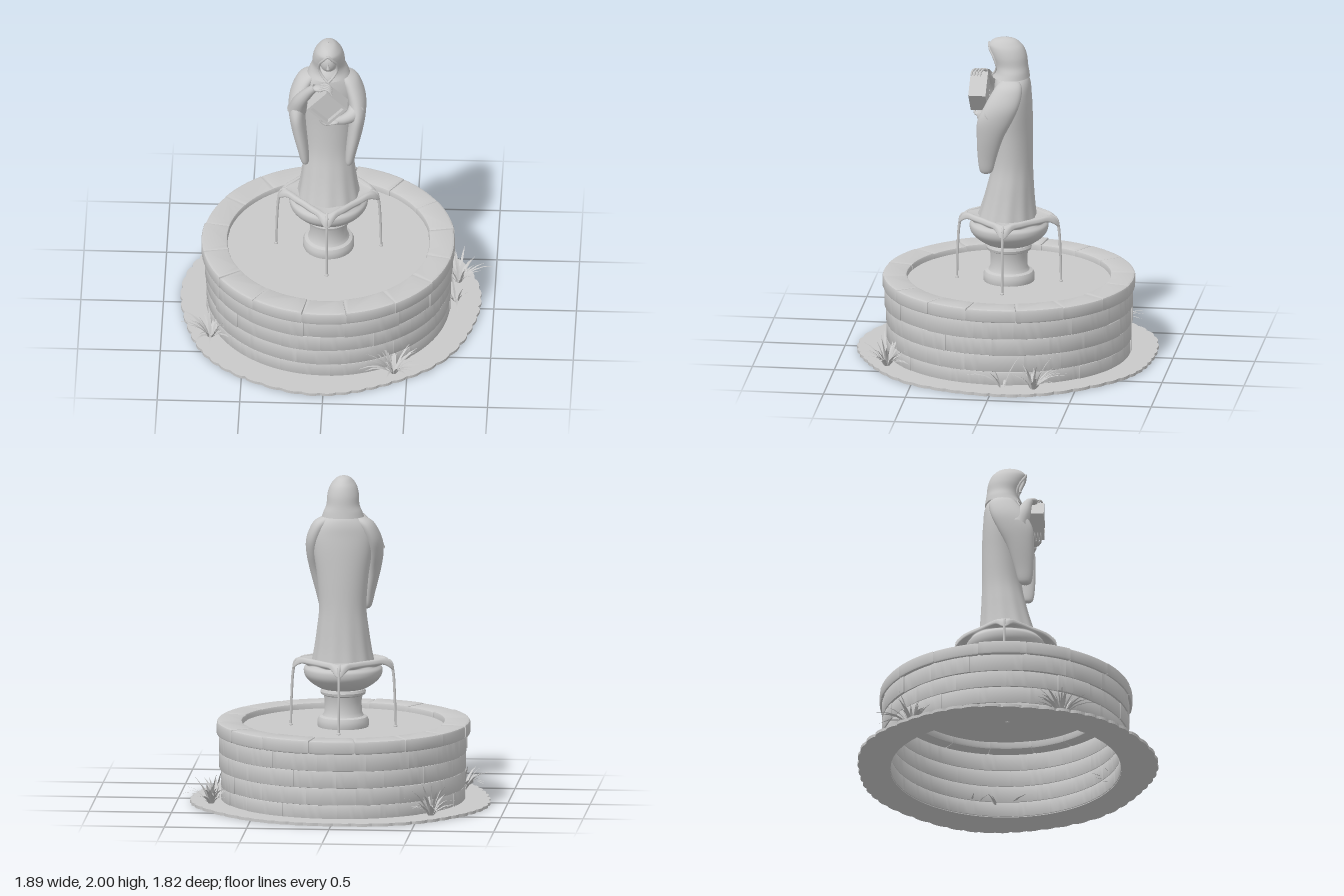
import * as THREE from 'three';
import { mergeGeometries, mergeVertices, toCreasedNormals } from 'three/addons/utils/BufferGeometryUtils.js';

const stone = new THREE.MeshStandardMaterial({ color: 0xc8c8c8, side: THREE.DoubleSide });
stone.name = 'greyStone';
const V = (x, y, z) => new THREE.Vector3(x, y, z);

let seed = 7;
const rnd = (a = 0, b = 1) => {
  seed = (seed * 16807) % 2147483647;
  return a + (b - a) * (seed / 2147483647);
};

function add(parent, name, geo) {
  const m = new THREE.Mesh(geo, stone);
  m.name = name;
  parent.add(m);
  return m;
}

// Smooth interpolation of rows of numbers, t in 0..1
function sampleRows(rows, t) {
  const f = t * (rows.length - 1), i = Math.min(Math.floor(f), rows.length - 2), u = f - i;
  const p = (k) => rows[Math.max(0, Math.min(rows.length - 1, k))];
  return rows[i].map((b, j) => {
    const a = p(i - 1)[j], c = p(i + 1)[j], d = p(i + 2)[j];
    return b + 0.5 * u * (c - a + u * (2 * a - 5 * b + 4 * c - d + u * (3 * (b - c) + d - a)));
  });
}

// Elliptical cross-sections [y, cx, cz, rx, rz, gap], bottom to top; gap opens the front
function loft(rows, { n = 40, m = 36, shape = null } = {}) {
  const open = rows.some((r) => r[5] > 0), cols = open ? n + 1 : n, pos = [], idx = [];
  for (let j = 0; j <= m; j++) {
    const [y, cx, cz, rx, rz, gap = 0] = sampleRows(rows, j / m), g = Math.max(0, gap);
    for (let i = 0; i < cols; i++) {
      const a = g + (2 * Math.PI - 2 * g) * (i / n);
      const p = V(cx + Math.sin(a) * rx, y, cz + Math.cos(a) * rz);
      if (shape) shape(p, a);
      pos.push(p.x, p.y, p.z);
    }
  }
  for (let j = 0; j < m; j++) for (let i = 0; i < n; i++) {
    const k = (i + 1) % cols, a = j * cols + i, b = j * cols + k;
    idx.push(a, b, a + cols, b, b + cols, a + cols);
  }
  const g = new THREE.BufferGeometry();
  g.setAttribute('position', new THREE.Float32BufferAttribute(pos, 3));
  g.setIndex(idx);
  g.computeVertexNormals();
  return g;
}

// Tube whose radius runs from r0 to r1
function taper(points, r0, r1, seg = 14, sides = 10) {
  const curve = new THREE.CatmullRomCurve3(points);
  const g = new THREE.TubeGeometry(curve, seg, 1, sides), p = g.attributes.position, v = V(0, 0, 0);
  for (let i = 0; i < p.count; i++) {
    const t = Math.floor(i / (sides + 1)) / seg, c = curve.getPointAt(t);
    v.fromBufferAttribute(p, i).sub(c).multiplyScalar(r0 + (r1 - r0) * t).add(c);
    p.setXYZ(i, v.x, v.y, v.z);
  }
  return g;
}

// Bevelled arc-shaped block
function block(rIn, rOut, a0, a1, y0, y1, bev) {
  const s = new THREE.Shape(), e = bev / rOut;
  s.absarc(0, 0, rOut - bev, a0 + e, a1 - e, false);
  s.absarc(0, 0, rIn + bev, a1 - e, a0 + e, true);
  s.closePath();
  const g = new THREE.ExtrudeGeometry(s, {
    depth: y1 - y0 - 2 * bev, bevelEnabled: true, bevelSize: bev, bevelThickness: bev, bevelSegments: 2, curveSegments: 6,
  });
  g.rotateX(-Math.PI / 2).translate(0, y0 + bev, 0);
  return toCreasedNormals(g, 0.7);
}

function ring(count, offset, jitter, make) {
  const step = (2 * Math.PI) / count, cuts = [];
  for (let i = 0; i < count; i++) cuts.push(offset + step * (i + rnd(-jitter, jitter)));
  cuts.push(cuts[0] + 2 * Math.PI);
  return mergeGeometries(cuts.slice(0, -1).map((a, i) => make(a, cuts[i + 1])));
}

// Fan of curved leaf blades
function tuft(count) {
  const pos = [], idx = [];
  for (let b = 0; b < count; b++) {
    const a = rnd(0, 6.283), len = rnd(0.12, 0.23), lean = rnd(0.25, 1.1), w = rnd(0.005, 0.013), k = pos.length / 3;
    const dx = Math.cos(a), dz = Math.sin(a);
    for (let i = 0; i <= 4; i++) {
      const t = i / 4, th = lean * (0.5 + 0.7 * t), r = 0.015 + len * t * Math.sin(th), hw = w * (0.5 + 2 * t) * (1 - t) + 0.0005;
      const y = len * t * Math.cos(th);
      pos.push(dx * r - dz * hw, y, dz * r + dx * hw, dx * r + dz * hw, y, dz * r - dx * hw);
      if (i < 4) { const q = k + 2 * i; idx.push(q, q + 1, q + 2, q + 1, q + 3, q + 2); }
    }
  }
  const g = new THREE.BufferGeometry();
  g.setAttribute('position', new THREE.Float32BufferAttribute(pos, 3));
  g.setIndex(idx);
  g.computeVertexNormals();
  return g;
}

export function createModel() {
  const root = new THREE.Group();
  root.name = 'fountain';

  // Scalloped ground skirt
  const edge = [];
  for (let i = 0; i < 360; i++) {
    const a = (i * Math.PI) / 180;
    const r = 0.893 + 0.016 * Math.sqrt(Math.abs(Math.sin(27 * a + Math.sin(5 * a)))) + 0.014 * Math.sin(3 * a + 1) + 0.008 * Math.sin(7 * a);
    edge.push(new THREE.Vector2(r * Math.cos(a), r * Math.sin(a)));
  }
  const skirt = new THREE.Shape(edge);
  skirt.holes.push(new THREE.Path().absarc(0, 0, 0.7, 0, Math.PI * 2, true));
  add(root, 'groundSkirt', new THREE.ExtrudeGeometry(skirt, { depth: 0.018, bevelEnabled: false, curveSegments: 48 }).rotateX(-Math.PI / 2));

  // Basin wall, coping and water
  const courses = [0.005, 0.1, 0.205, 0.31, 0.42];
  for (let i = 0; i < 4; i++) {
    const r = 0.735 + 0.005 * i;
    add(root, 'brickCourse', ring(16, i * 0.2, 0.2, (a, b) => block(0.695, r + rnd(-0.003, 0.006), a, b, courses[i], courses[i + 1], 0.005)));
  }
  add(root, 'coping', ring(16, Math.PI / 16, 0.06, (a, b) => block(0.61 + rnd(0, 0.006), 0.765 + rnd(-0.004, 0.005), a, b, 0.415, 0.497 + rnd(-0.003, 0.003), 0.014)));
  add(root, 'water', new THREE.RingGeometry(0.13, 0.68, 64).rotateX(-Math.PI / 2)).position.y = 0.46;

  // Pedestal
  const profile = [[0.15, 0.45], [0.155, 0.465], [0.155, 0.5], [0.145, 0.52], [0.125, 0.528], [0.113, 0.55], [0.112, 0.62],
    [0.118, 0.652], [0.134, 0.66], [0.138, 0.675], [0.132, 0.69], [0.11, 0.697]].map((p) => new THREE.Vector2(...p));
  add(root, 'pedestal', toCreasedNormals(new THREE.LatheGeometry(profile, 48), 0.6));

  // Bowl with four drooping lips
  const bowlRows = [[0.69, 0.11], [0.7, 0.145], [0.735, 0.198], [0.775, 0.232], [0.815, 0.238], [0.838, 0.222], [0.848, 0.215],
    [0.862, 0.22], [0.88, 0.212], [0.884, 0.195], [0.872, 0.17], [0.87, 0.001]].map(([y, r]) => [y, 0, 0, r, r]);
  add(root, 'bowl', loft(bowlRows, {
    n: 96, m: 66,
    shape: (p, a) => {
      const c = Math.abs(Math.cos(2 * a)), r = Math.hypot(p.x, p.z);
      const lip = Math.max(0, Math.min(1, (p.y - 0.84) / 0.012)) * Math.max(0, Math.min(1, (r - 0.17) / 0.03));
      const out = r + lip * (0.04 * c * c + 0.05 * c ** 16);
      p.x *= out / r; p.z *= out / r;
      p.y -= lip * 11 * Math.max(0, out - 0.24) ** 2;
    },
  }));

  // Water streams
  for (let i = 0; i < 4; i++) {
    const g = new THREE.Group();
    g.name = 'waterStream';
    g.rotation.y = (i * Math.PI) / 2;
    add(g, 'stream', taper([V(0.25, 0.875, 0), V(0.288, 0.86, 0), V(0.303, 0.8, 0), V(0.313, 0.65, 0), V(0.318, 0.46, 0)], 0.009, 0.007, 24, 8));
    add(g, 'splash', new THREE.SphereGeometry(0.012, 10, 8)).position.set(0.318, 0.462, 0);
    root.add(g);
  }

  // Robed figure
  const figure = new THREE.Group();
  figure.name = 'robedFigure';
  root.add(figure);
  const robe = [[0.872, 0.186, 0.185, -0.165], [0.95, 0.172, 0.16, -0.157], [1.06, 0.157, 0.13, -0.15], [1.2, 0.143, 0.1, -0.145],
    [1.38, 0.155, 0.09, -0.145], [1.54, 0.177, 0.09, -0.142], [1.64, 0.178, 0.09, -0.136], [1.71, 0.15, 0.085, -0.13],
    [1.76, 0.1, 0.075, -0.11], [1.8, 0.05, 0.05, -0.06]].map(([y, rx, f, b]) => [y, 0, (f + b) / 2, rx, (f - b) / 2]);
  add(figure, 'robe', loft(robe, {
    n: 72, m: 45,
    shape: (p, a) => {
      const k = 1 + 0.022 * Math.max(0, 1.25 - p.y) * 2.5 * Math.cos(11 * a);
      p.x *= k; p.z *= k;
    },
  }));

  // Hood with a face opening and rolled hem
  const hood = [[1.752, 0.128, 0.1, -0.127, 0.02], [1.785, 0.116, 0.082, -0.122, 0.32], [1.825, 0.1, 0.085, -0.116, 0.58],
    [1.88, 0.096, 0.105, -0.11, 0.58], [1.925, 0.085, 0.12, -0.096, 0.36], [1.955, 0.068, 0.12, -0.076, 0.05],
    [1.983, 0.04, 0.085, -0.04, 0], [1.995, 0.002, 0.02, 0.016, 0]].map(([y, rx, f, b, g]) => [y, 0, (f + b) / 2, rx, (f - b) / 2, g]);
  add(figure, 'hood', loft(hood, { n: 48, m: 40 }));
  const hem = (s) => hood.slice(0, 6).map(([y, , cz, rx, rz, g]) => V(s * Math.sin(g) * rx, y, cz + Math.cos(g) * rz));
  add(figure, 'hoodHem', new THREE.TubeGeometry(new THREE.CatmullRomCurve3([...hem(-1), ...hem(1).reverse()]), 60, 0.008, 8));
  const face = add(figure, 'face', new THREE.SphereGeometry(1, 28, 20));
  face.scale.set(0.054, 0.075, 0.062);
  face.position.set(0, 1.862, 0.02);
  const nose = add(figure, 'nose', new THREE.ConeGeometry(0.011, 0.045, 8));
  nose.position.set(0, 1.862, 0.082);
  nose.rotation.x = -0.15;
  const neck = add(figure, 'neck', new THREE.CylinderGeometry(0.04, 0.06, 0.09, 20));
  neck.position.set(0, 1.785, 0.005);

  // Draped sleeves, one per side
  const sleeve = [[1.162, 0.125, 0.125, 0.003, 0.004], [1.18, 0.13, 0.122, 0.024, 0.038], [1.27, 0.143, 0.115, 0.034, 0.057],
    [1.4, 0.165, 0.095, 0.044, 0.08], [1.51, 0.178, 0.065, 0.05, 0.105], [1.6, 0.172, 0.025, 0.055, 0.105],
    [1.68, 0.145, -0.005, 0.055, 0.092], [1.73, 0.115, -0.018, 0.05, 0.07], [1.76, 0.08, -0.02, 0.02, 0.03]];
  for (const s of [1, -1]) {
    add(figure, s > 0 ? 'leftSleeve' : 'rightSleeve',
      loft(sleeve.map(([y, x, z, rx, rz]) => [y, s * (s < 0 ? x * 1.06 : x), z, rx, rz]), { n: 32 }));
  }

  // Forearms reaching to the held box
  add(figure, 'rightForearm', taper([V(-0.19, 1.53, 0.08), V(-0.165, 1.62, 0.11), V(-0.115, 1.7, 0.13), V(-0.075, 1.745, 0.145)], 0.06, 0.022, 16, 16));
  add(figure, 'leftForearm', taper([V(0.18, 1.56, 0.08), V(0.15, 1.53, 0.12), V(0.1, 1.515, 0.15), V(0.05, 1.512, 0.165)], 0.055, 0.022, 16, 16));

  // Hands: palm with curled fingers
  function hand(name, pos, scale, fingers) {
    const g = new THREE.Group();
    g.name = name;
    const palm = add(g, 'palm', new THREE.SphereGeometry(1, 16, 12));
    palm.position.copy(pos);
    palm.scale.copy(scale);
    fingers.forEach((f) => add(g, 'finger', taper(f, 0.0085, 0.005, 8, 8)));
    figure.add(g);
  }
  const four = [0, 1, 2, 3];
  hand('rightHand', V(-0.055, 1.755, 0.165), V(0.035, 0.018, 0.032), four.map((i) => {
    const z = 0.145 + i * 0.018;
    return [V(-0.045, 1.76, z), V(-0.015, 1.778, z + 0.01), V(0.012, 1.774, z + 0.022), V(0.028, 1.748, z + 0.028)];
  }));
  hand('leftHand', V(0.03, 1.515, 0.175), V(0.042, 0.015, 0.032), four.map((i) => {
    const z = 0.152 + i * 0.018;
    return [V(0.02, 1.514, z), V(-0.01, 1.518, z + 0.005), V(-0.035, 1.535, z + 0.007), V(-0.045, 1.552, z + 0.007)];
  }));

  // Held box standing on its corner, with a recessed front
  const box = new THREE.Group();
  box.name = 'heldBox';
  const sq = (P, h) => new P([[-h, -h], [h, -h], [h, h], [-h, h]].map((p) => new THREE.Vector2(...p)));
  const frame = sq(THREE.Shape, 0.086);
  frame.holes.push(sq(THREE.Path, 0.07));
  add(box, 'boxFrame', new THREE.ExtrudeGeometry(frame, { depth: 0.105, bevelEnabled: false }));
  add(box, 'boxPanel', new THREE.BoxGeometry(0.142, 0.142, 0.07)).position.z = 0.036;
  box.position.set(0, 1.647, 0.128);
  box.rotation.z = Math.PI / 4 + 0.03;
  figure.add(box);

  // Grass tufts round the wall
  [[-0.58, -0.55, 32], [0.78, -0.25, 30], [-0.7, 0.36, 30], [0.42, 0.69, 36], [0.77, -0.06, 8]].forEach(([x, z, n]) => {
    add(root, 'grassTuft', tuft(n)).position.set(x, 0.015, z);
  });
  return root;
}
